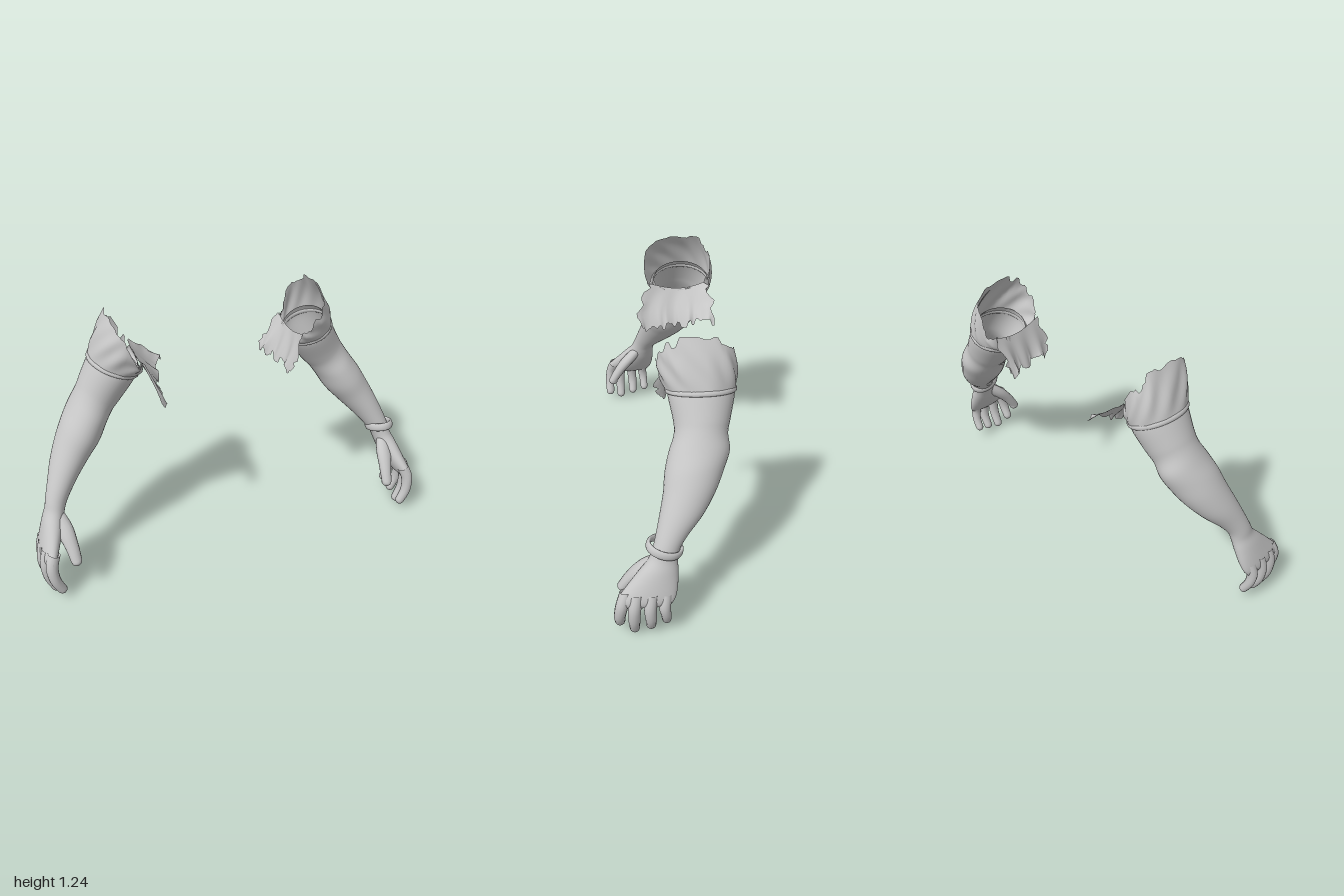
import * as THREE from 'three';

const grey = new THREE.MeshStandardMaterial({ color: 0xc6c6c6 });
grey.name = 'plain grey';
const cloth = grey;
cloth.side = THREE.DoubleSide;

// small repeatable noise, -1..1
const noise = (n) => {
  const v = Math.sin(n * 127.1 + 3.7) * 43758.5453;
  return (v - Math.floor(v)) * 2 - 1;
};
const lerp = THREE.MathUtils.lerp;

// Surface from a rule point(i, j); side = -1 mirrors it across x
function surface(name, rows, cols, point, side, { wrapRows = false, wrapCols = true, cap = false } = {}) {
  const pos = [], index = [];
  for (let i = 0; i < rows; i++) {
    for (let j = 0; j < cols; j++) {
      const [x, y, z] = point(i, j);
      pos.push(x * side, y, z);
    }
  }
  const tri = (a, b, c) => (side > 0 ? index.push(a, b, c) : index.push(a, c, b));
  for (let i = 0; i < (wrapRows ? rows : rows - 1); i++) {
    for (let j = 0; j < (wrapCols ? cols : cols - 1); j++) {
      const k = (j + 1) % cols, n = (i + 1) % rows;
      const a = i * cols + j, b = i * cols + k, c = n * cols + j, d = n * cols + k;
      tri(a, b, c);
      tri(b, d, c);
    }
  }
  if (cap) {
    const last = (rows - 1) * cols, mid = pos.length / 3, sum = [0, 0, 0];
    for (let j = 0; j < cols; j++) for (let k = 0; k < 3; k++) sum[k] += pos[(last + j) * 3 + k] / cols;
    pos.push(...sum);
    for (let j = 0; j < cols; j++) tri(last + j, last + ((j + 1) % cols), mid);
  }
  const geo = new THREE.BufferGeometry();
  geo.setAttribute('position', new THREE.Float32BufferAttribute(pos, 3));
  geo.setIndex(index);
  geo.computeVertexNormals();
  const mesh = new THREE.Mesh(geo, cloth);
  mesh.name = name;
  return mesh;
}

// Smooth interpolation through rows of numbers
function sample(rows, t) {
  const f = t * (rows.length - 1), i = Math.min(Math.floor(f), rows.length - 2), s = f - i;
  const at = (k) => rows[Math.max(0, Math.min(rows.length - 1, k))];
  return rows[0].map((_, k) => {
    const a = at(i - 1)[k], b = at(i)[k], c = at(i + 1)[k], d = at(i + 2)[k];
    return b + 0.5 * s * (c - a + s * (2 * a - 5 * b + 4 * c - d + s * (3 * (b - c) + d - a)));
  });
}

// Tapered limb through rings [x, y, zFront, zBack, halfWidth]; domeSize rounds the tip
function limb(name, rings, perRing, cols, side, domeSize = 0) {
  const n = (rings.length - 1) * perRing, dome = domeSize ? 5 : 0;
  return surface(name, n + 1 + dome, cols, (i, j) => {
    const t = Math.min(i, n) / n;
    let [x, y, zf, zb, h] = sample(rings, t);
    const p = sample(rings, Math.max(0, t - 0.02)), q = sample(rings, Math.min(1, t + 0.02));
    const len = Math.hypot(q[0] - p[0], q[1] - p[1]);
    const tx = (q[0] - p[0]) / len, ty = (q[1] - p[1]) / len;
    const a = (Math.max(0, i - n) / 5.3) * Math.PI / 2, shrink = Math.cos(a);
    x += tx * domeSize * Math.sin(a);
    y += ty * domeSize * Math.sin(a);
    const th = (j / cols) * Math.PI * 2, c = Math.cos(th) * h * shrink;
    return [x - ty * c, y + tx * c, (zf + zb) / 2 + Math.sin(th) * shrink * (zf - zb) / 2];
  }, side, { cap: true });
}

// Finger from path points [x, y, z, radius]
function finger(name, path, side) {
  const rings = path.map(([x, y, z, r]) => [x, y, z + r, z - r, r]);
  return limb(name, rings, 5, 14, side, path[path.length - 1][3]);
}

// Rounded band around an ellipse spanned by the unit vectors u and w
function band(name, centre, u, w, hu, hw, thick, tall, side) {
  const C = new THREE.Vector3(...centre), U = new THREE.Vector3(...u).normalize(), W = new THREE.Vector3(...w).normalize();
  const N = U.clone().cross(W);
  return surface(name, 48, 12, (i, j) => {
    const a = (i / 48) * Math.PI * 2, b = (j / 12) * Math.PI * 2;
    return C.clone()
      .addScaledVector(U, Math.cos(a) * (hu + thick * Math.cos(b)))
      .addScaledVector(W, Math.sin(a) * (hw + thick * Math.cos(b)))
      .addScaledVector(N, -Math.sin(b) * tall).toArray();
  }, side, { wrapRows: true });
}

// Torn sleeve: slanted ragged opening narrowing to the cuff
function sleeve(side) {
  const rows = 14, cols = 56;
  const squash = (v) => Math.sign(v) * Math.abs(v) ** 0.75;
  return surface('sleeve', rows, cols, (i, j) => {
    const t = i / (rows - 1), th = (j / cols) * Math.PI * 2, c = Math.cos(th), s = Math.sin(th);
    const open = [0.455 + 0.062 * squash(c), 1.115 + 0.118 * squash(c), -0.1 + 0.165 * squash(s)];
    const cuff = [0.5 + 0.113 * c, 0.99 + 0.045 * c, -0.123 + 0.15 * s];
    const tear = (1 - t) ** 3 * 0.022 * noise(Math.floor(j / 2) + side * 31);
    const fold = Math.sin(t * Math.PI) * (0.008 + 0.005 * Math.sin(th * 9 + t * 6));
    return [
      lerp(open[0], cuff[0], t) + fold * c - tear * 0.4,
      lerp(open[1], cuff[1], t) + fold * c * 0.4 + tear,
      lerp(open[2], cuff[2], t) + fold * s,
    ];
  }, side);
}

// Ragged cloth hanging below the armhole; front and back are its lower corners
function flap(side, front, back) {
  const rows = 12, cols = 40;
  return surface('tornFlap', rows, cols, (i, j) => {
    const t = i / (rows - 1), s = j / (cols - 1), edge = Math.abs(s * 2 - 1) ** 8;
    const low = front.map((v, k) => lerp(v, back[k], s));
    const wave = Math.sin(s * 19 + side) * 0.01 * t + 0.025 * Math.sin(s * Math.PI) * t;
    const tear = t ** 4 * 0.025 * noise(Math.floor(j / 2) + side * 57);
    return [
      lerp(0.395, low[0], t) + wave,
      lerp(1.04 - 0.03 * Math.sin(s * Math.PI), low[1], t) + tear,
      lerp(lerp(0.035, -0.24, s), low[2], Math.sin(t * Math.PI * 0.7)) + edge * 0.014 * noise(i + side * 13),
    ];
  }, side, { wrapCols: false });
}

const armRings = [
  [0.485, 1.02, 0.015, -0.26, 0.108], [0.51, 0.975, 0.02, -0.268, 0.116],
  [0.57, 0.88, 0.0, -0.245, 0.108], [0.605, 0.83, 0.0, -0.232, 0.1],
  [0.645, 0.77, 0.025, -0.237, 0.098], [0.69, 0.7, 0.045, -0.208, 0.1],
  [0.74, 0.63, 0.055, -0.172, 0.09], [0.795, 0.55, 0.075, -0.115, 0.074],
  [0.84, 0.475, 0.095, -0.045, 0.058], [0.865, 0.425, 0.11, -0.01, 0.05],
  [0.88, 0.38, 0.13, 0.0, 0.046], [0.9, 0.33, 0.175, 0.0, 0.047],
  [0.925, 0.27, 0.228, 0.003, 0.043], [0.945, 0.225, 0.264, 0.012, 0.037],
  [0.955, 0.2, 0.266, 0.025, 0.029], [0.96, 0.183, 0.25, 0.04, 0.014],
];

const fingers = {
  indexFinger: [[0.932, 0.25, 0.225, 0.03], [0.952, 0.19, 0.246, 0.029], [0.945, 0.12, 0.257, 0.026], [0.918, 0.06, 0.257, 0.023]],
  middleFinger: [[0.95, 0.25, 0.18, 0.03], [0.968, 0.18, 0.193, 0.029], [0.962, 0.1, 0.195, 0.026], [0.935, 0.03, 0.193, 0.023]],
  ringFinger: [[0.952, 0.25, 0.115, 0.03], [0.97, 0.18, 0.125, 0.028], [0.966, 0.11, 0.122, 0.025], [0.94, 0.05, 0.121, 0.022]],
  littleFinger: [[0.945, 0.24, 0.055, 0.028], [0.963, 0.18, 0.062, 0.026], [0.958, 0.125, 0.056, 0.023], [0.935, 0.075, 0.052, 0.021]],
  thumb: [[0.882, 0.375, 0.085, 0.036], [0.858, 0.315, 0.145, 0.041], [0.842, 0.25, 0.2, 0.032], [0.834, 0.19, 0.238, 0.026]],
};

function arm(side) {
  const g = new THREE.Group();
  g.name = side > 0 ? 'leftArm' : 'rightArm';
  g.add(limb('armAndPalm', armRings, 5, 36, side));
  for (const [name, path] of Object.entries(fingers)) g.add(finger(name, path, side));
  g.add(sleeve(side));
  g.add(band('sleeveHem', [0.5, 0.99, -0.123], [0.93, 0.37, 0], [0, 0, 1], 0.12, 0.147, 0.007, 0.012, side));
  return g;
}

export function createModel() {
  const model = new THREE.Group();
  model.name = 'pairOfArms';
  const left = arm(1), right = arm(-1);
  left.add(flap(1, [0.33, 0.84, 0.06], [0.285, 0.87, -0.24]));
  right.add(flap(-1, [0.315, 0.82, 0.1], [0.23, 0.9, -0.27]));
  // bracelet on the left wrist only
  left.add(band('bracelet', [0.866, 0.435, 0.057], [1, 0.03, 0], [0, 0.3, 0.95], 0.06, 0.074, 0.009, 0.021, 1));
  model.add(left, right);
  return model;
}
